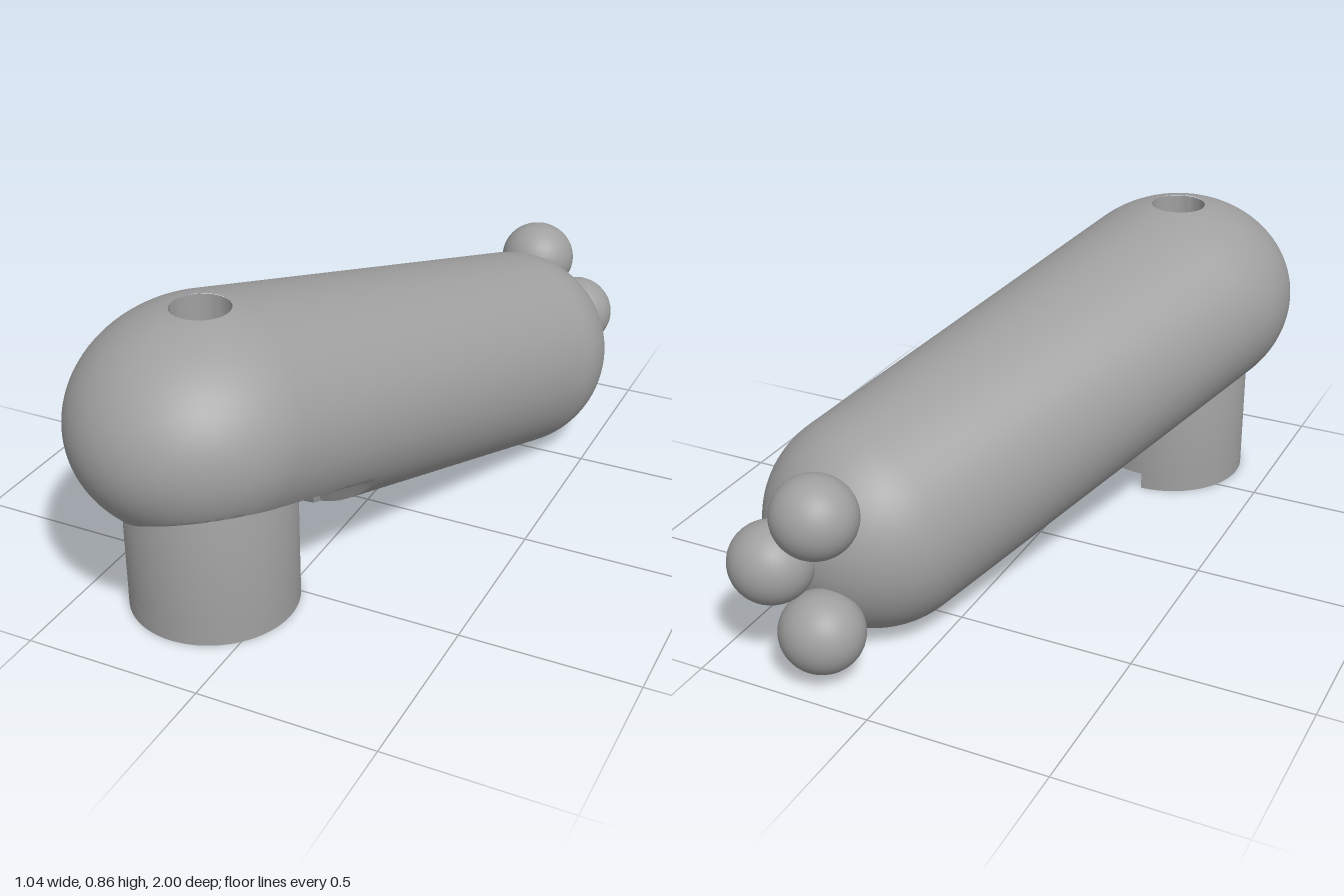
import * as THREE from 'three';
import { toCreasedNormals } from 'three/addons/utils/BufferGeometryUtils.js';

const V = (x, y, z) => new THREE.Vector3(x, y, z);
const HUB = { c: V(-0.17, 0.57, 0.61), r: V(0.35, 0.3, 0.39) };
const TIP = { c: V(0.22, 0.3, -0.56), r: V(0.3, 0.3, 0.3) };
const STEM_R = 0.233, BORE_R = 0.11, PIN_R = 0.04, SINK_R = 0.08;

// Point of an ellipsoid whose outward normal is n, and its support distance
function surfacePoint(e, n) {
  const len = n.clone().multiply(e.r).length();
  return n.clone().multiply(e.r).multiply(e.r).divideScalar(len).add(e.c);
}
const support = (e, n) => surfacePoint(e, n).dot(n);

// Opens the screw hole and planes the slanted relief under the hub
function trim(p) {
  let dx = p.x - HUB.c.x, dz = p.z - HUB.c.z;
  const top = p.y > HUB.c.y;
  const limit = top ? SINK_R : 0.15;
  const r = Math.hypot(dx, dz);
  const inside = r < limit;
  if (inside) {
    const k = limit / Math.max(r, 1e-6);
    dx *= k;
    dz *= k;
    p.x = HUB.c.x + dx;
    p.z = HUB.c.z + dz;
    if (top) p.y = HUB.c.y + HUB.r.y * Math.sqrt(1 - (dx / HUB.r.x) ** 2 - (dz / HUB.r.z) ** 2);
  }
  if (!top && dz > -0.22) p.y = Math.max(p.y, 0.298 + 0.307 * dx + 0.34 * dz);
  return { p, inside };
}

// Lever: skin stretched over a large ellipsoid hub and a round tip
function leverGeometry() {
  const d = TIP.c.clone().sub(HUB.c).normalize();
  const u = V(0, 1, 0).cross(d).normalize();
  const v = d.clone().cross(u);
  const cols = 128, tipRows = 28, tubeRows = 48, hubRows = 44;
  const grid = [];
  for (let j = 0; j <= cols; j++) {
    const phi = ((j % cols) / cols) * Math.PI * 2;
    const side = u.clone().multiplyScalar(Math.cos(phi)).addScaledVector(v, Math.sin(phi));
    const normal = t => d.clone().multiplyScalar(Math.cos(t)).addScaledVector(side, Math.sin(t));
    // angle at which the skin leaves the tip for the hub
    let lo = 0, hi = Math.PI;
    for (let k = 0; k < 40; k++) {
      const mid = (lo + hi) / 2;
      if (support(TIP, normal(mid)) > support(HUB, normal(mid))) lo = mid;
      else hi = mid;
    }
    const line = [];
    for (let i = 0; i <= tipRows; i++) line.push(surfacePoint(TIP, normal(lo * i / tipRows)));
    const a = surfacePoint(TIP, normal(lo)), b = surfacePoint(HUB, normal(lo));
    for (let i = 1; i < tubeRows; i++) line.push(a.clone().lerp(b, i / tubeRows));
    for (let i = 0; i <= hubRows; i++) {
      line.push(surfacePoint(HUB, normal(lo + (Math.PI - lo) * i / hubRows)));
    }
    grid.push(line.map(trim));
  }
  const pos = [];
  const tri = (...q) => {
    if (q.every(s => s.inside)) return;
    const [a, b, c] = q.map(s => s.p);
    if (b.clone().sub(a).cross(c.clone().sub(a)).length() < 1e-9) return;
    for (const p of [a, b, c]) pos.push(p.x, p.y, p.z);
  };
  for (let j = 0; j < cols; j++) {
    for (let i = 0; i < grid[0].length - 1; i++) {
      const a = grid[j][i], b = grid[j][i + 1], c = grid[j + 1][i], e = grid[j + 1][i + 1];
      tri(a, b, c);
      tri(b, e, c);
    }
  }
  const g = new THREE.BufferGeometry();
  g.setAttribute('position', new THREE.Float32BufferAttribute(pos, 3));
  return toCreasedNormals(g, 0.35);
}

export function createModel() {
  const group = new THREE.Group();
  const grey = new THREE.MeshStandardMaterial({ color: 0xa0a0a0 });
  grey.name = 'grey';
  const add = (name, geometry, x = 0, y = 0, z = 0) => {
    const m = new THREE.Mesh(geometry, grey);
    m.name = name;
    m.position.set(x, y, z);
    group.add(m);
    return m;
  };

  add('lever', leverGeometry());

  // Stem with bore below, pin hole through and countersunk screw hole above
  const profile = [
    [BORE_R, 0.05], [STEM_R, 0.05], [STEM_R, 0.5], [SINK_R, 0.862], [SINK_R, 0.5],
    [PIN_R, 0.5], [PIN_R, 0.11], [BORE_R, 0.11], [BORE_R, 0.05],
  ].map(([x, y]) => new THREE.Vector2(x, y));
  add('stem', toCreasedNormals(new THREE.LatheGeometry(profile, 64), 0.5), HUB.c.x, 0, HUB.c.z);

  // Foot ring with a one-eighth stop notch at the back
  const ring = new THREE.Shape();
  ring.absarc(0, 0, STEM_R, Math.PI / 2, Math.PI * 2.25, false);
  ring.absarc(0, 0, BORE_R, Math.PI * 2.25, Math.PI / 2, true);
  const foot = new THREE.ExtrudeGeometry(ring, { depth: 0.05, bevelEnabled: false, curveSegments: 56 });
  foot.rotateX(-Math.PI / 2);
  add('footRing', toCreasedNormals(foot, 0.5), HUB.c.x, 0, HUB.c.z);

  // Three grip balls on the tip
  const ball = new THREE.SphereGeometry(0.11, 40, 28);
  for (const [x, y] of [[0.19, 0.477], [0.33, 0.31], [0.19, 0.14]]) {
    add('gripBall', ball, x, y, -0.89).scale.set(1.04, 1, 1);
  }
  return group;
}
